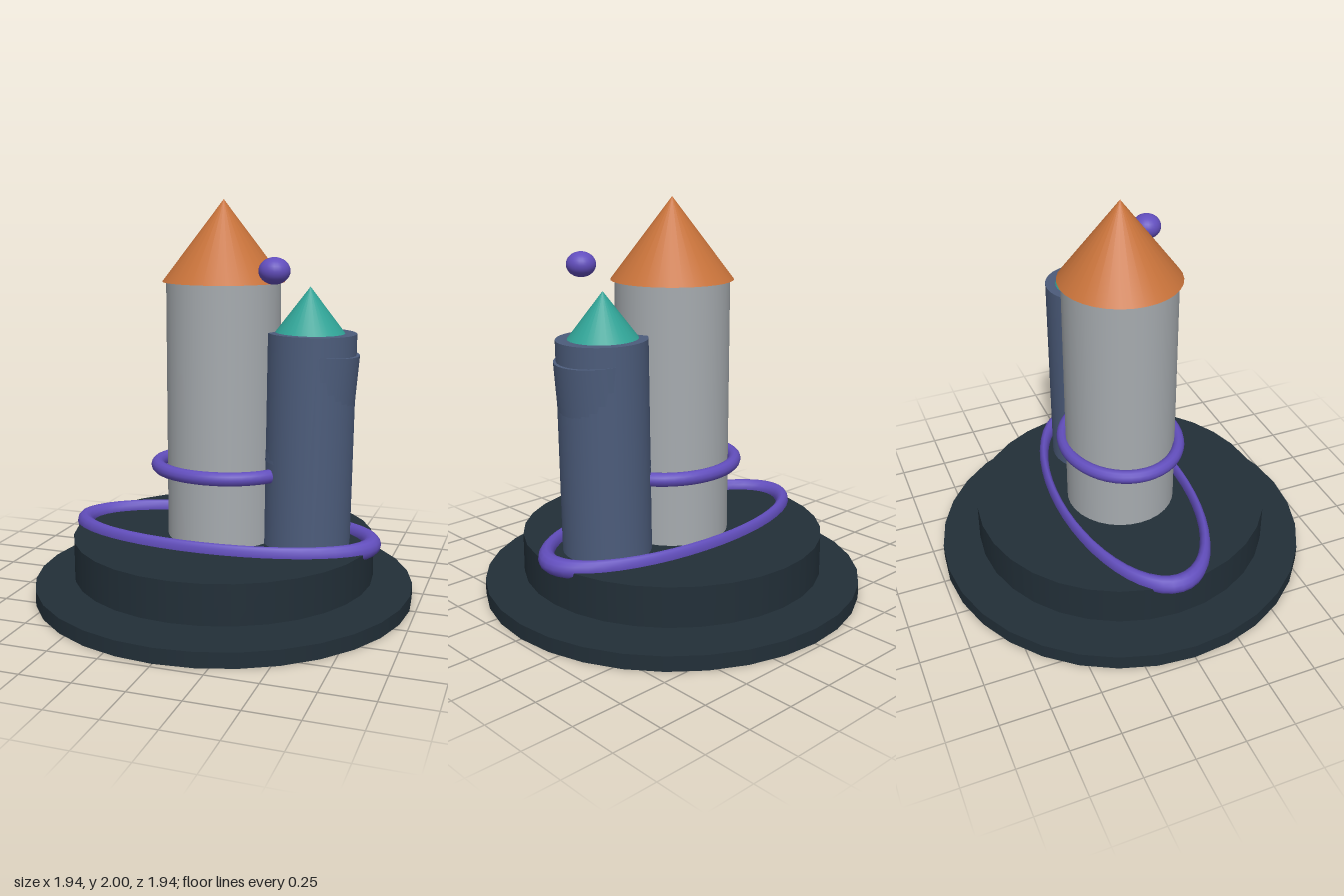
import * as THREE from 'three';

const mat = (name, color) => {
  const m = new THREE.MeshStandardMaterial({ color });
  m.name = name;
  return m;
};

export function createModel() {
  const group = new THREE.Group();
  const dark = mat('dark base', 0x222f38);
  const grey = mat('light grey', 0xa6abaf);
  const slate = mat('slate blue', 0x4c5c7b);
  const orange = mat('orange', 0xc7723a);
  const teal = mat('teal', 0x30a396);
  const purple = mat('purple', 0x624ebd);

  const add = (name, geometry, material, x, y, z) => {
    const mesh = new THREE.Mesh(geometry, material);
    mesh.name = name;
    mesh.position.set(x, y, z);
    group.add(mesh);
    return mesh;
  };
  // Upright cylinder or cone between two heights
  const column = (name, material, x, y0, y1, rBottom, rTop = rBottom) =>
    add(name, new THREE.CylinderGeometry(rTop, rBottom, y1 - y0, 32), material, x, (y0 + y1) / 2, 0);
  // Horizontal ring, squashed front to back
  const ring = (name, y, radius, tube, squash) =>
    add(name, new THREE.TorusGeometry(radius, tube, 12, 48).rotateX(Math.PI / 2).scale(1, 1, squash), purple, 0, y, 0);

  // Stepped base with a narrow gap between the discs
  column('lowerBaseDisc', dark, 0, 0, 0.075, 0.97);
  column('upperBaseDisc', dark, 0, 0.11, 0.31, 0.77);

  // Main tower
  column('mainTower', grey, 0, 0.3, 1.6, 0.285);
  column('mainRoof', orange, 0, 1.6, 2, 0.305, 0);

  // Side tower: slightly leaning body and a more tilted sleeve
  column('sideTower', slate, 0.445, 0.3, 1.363, 0.22).rotation.z = -0.014;
  column('sideTowerSleeve', slate, 0.453, 0.72, 1.275, 0.212).rotation.z = -0.085;
  column('sideRoof', teal, 0.443, 1.35, 1.585, 0.18, 0);

  // Rings and floating ball
  ring('baseRing', 0.315, 0.772, 0.046, 0.45);
  ring('towerRing', 0.667, 0.341, 0.035, 0.87);
  add('floatingBall', new THREE.SphereGeometry(0.074, 24, 16).scale(1, 0.85, 1), purple, 0.343, 1.675, 0.284);

  return group;
}
